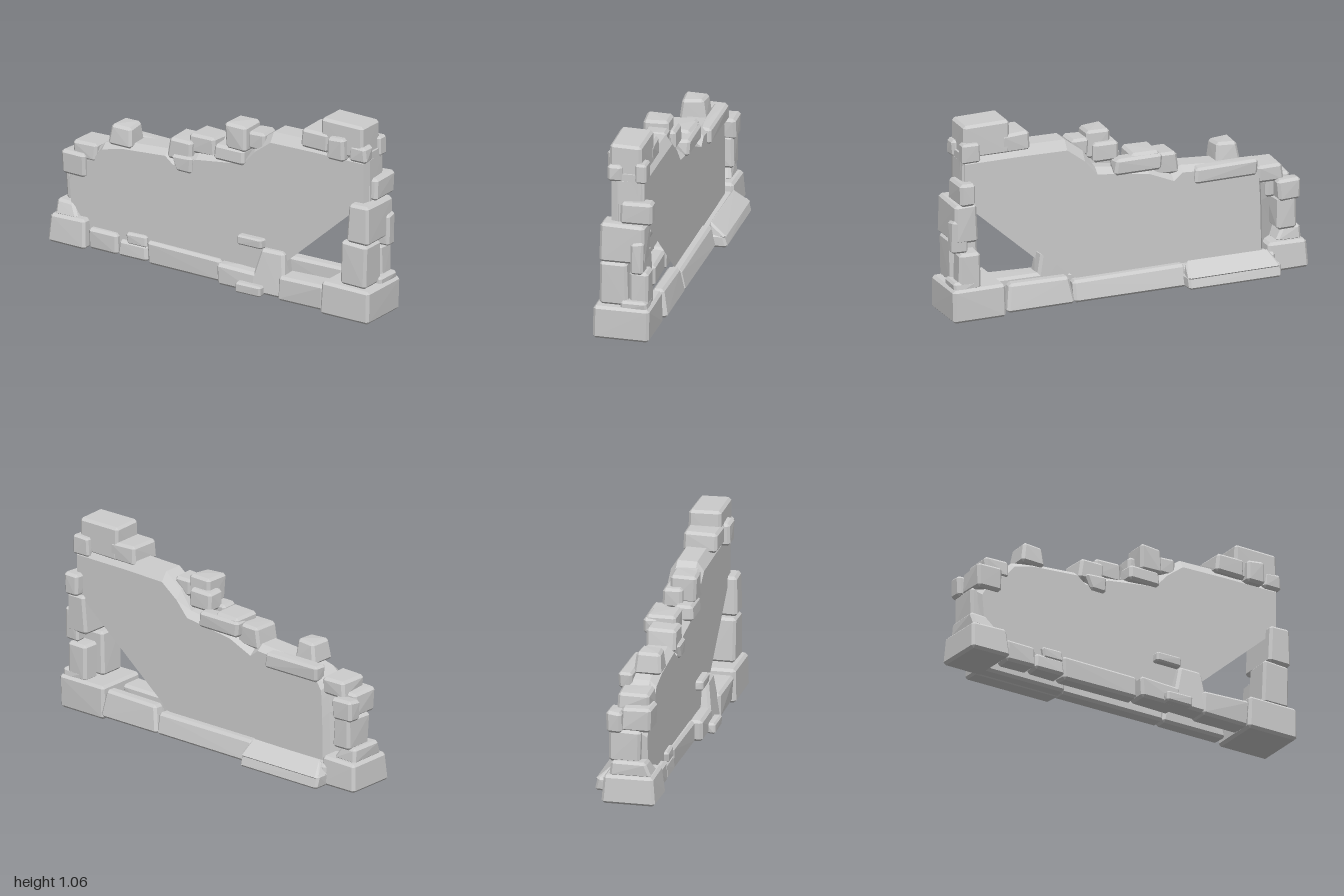
import * as THREE from 'three';
import { ConvexGeometry } from 'three/addons/geometries/ConvexGeometry.js';

const stoneGrey = new THREE.MeshStandardMaterial({ color: 0xcccccc, side: THREE.DoubleSide });
stoneGrey.name = 'stoneGrey';

let seed = 7;
const rand = () => (seed = (seed * 16807) % 2147483647) / 2147483647;

// Chamfered block inside the given bounds; each corner is pulled in a little.
// topInset narrows the top at [min x, max x, back, front].
function stone(group, name, [x0, x1], [y0, y1], [z0, z1], topInset = [0, 0, 0, 0]) {
  const size = [x1 - x0, y1 - y0, z1 - z0];
  const b = Math.min(0.014, Math.min(...size) * 0.16);
  const pts = [];
  for (const sx of [0, 1]) for (const sy of [0, 1]) for (const sz of [0, 1]) {
    const j = size.map((s) => rand() * Math.min(0.009, s * 0.07));
    const cx = (sx ? x1 - j[0] : x0 + j[0]) + (sy ? (sx ? -topInset[1] : topInset[0]) : 0);
    const cy = sy ? y1 - j[1] : y0 + j[1] * 0.3;
    const cz = (sz ? z1 - j[2] : z0 + j[2]) + (sy ? (sz ? -topInset[3] : topInset[2]) : 0);
    const dx = sx ? -b : b, dy = sy ? -b : b, dz = sz ? -b : b;
    pts.push(
      new THREE.Vector3(cx, cy + dy, cz + dz),
      new THREE.Vector3(cx + dx, cy, cz + dz),
      new THREE.Vector3(cx + dx, cy + dy, cz)
    );
  }
  const mesh = new THREE.Mesh(new ConvexGeometry(pts), stoneGrey);
  mesh.name = name;
  group.add(mesh);
}

const FRONT = 0.1, BACK = -0.075;

// Broken upper outline of the wall, from low end to high end
const rim = [
  [-0.9, 0.14], [-0.92, 0.4], [-0.86, 0.5], [-0.77, 0.55], [-0.7, 0.61], [-0.58, 0.64],
  [-0.31, 0.66], [-0.26, 0.62], [-0.12, 0.68], [0.17, 0.72], [0.24, 0.82], [0.34, 0.895],
  [0.6, 0.9], [0.925, 0.9], [0.925, 0.63],
];

// Rim moved inwards, where the flat faces begin; the back face stops short of the low end
const frontEdge = rim.map(([x, y], i) => [
  x + (i < 4 ? 0.02 : i > 12 ? -0.01 : 0),
  i === 0 || i === 14 ? y : y - (i > 9 && i < 14 ? 0.05 : 0.03),
]);
const backEdge = frontEdge.map(([x, y], i) => [i < 4 ? -0.75 + i * 0.004 : x, i === 14 ? 0.65 : y]);

// Flat wall face; the foot leaves the corner opening free
function wallFace(name, edge, foot, z, back) {
  const shape = new THREE.Shape([...edge, ...foot].map(([x, y]) => new THREE.Vector2(x, y)));
  const geo = new THREE.ShapeGeometry(shape);
  if (back) {
    const idx = geo.index.array;
    for (let i = 0; i < idx.length; i += 3) [idx[i], idx[i + 1]] = [idx[i + 1], idx[i]];
    geo.computeVertexNormals();
  }
  geo.translate(0, 0, z);
  const mesh = new THREE.Mesh(geo, stoneGrey);
  mesh.name = name;
  return mesh;
}

// Bevelled strip that closes the gap between both wall faces
function wallRim() {
  const pos = [];
  const section = (i) => [
    [...frontEdge[i], FRONT], [...rim[i], FRONT - 0.035],
    [i < 4 ? backEdge[i][0] - 0.02 : rim[i][0], rim[i][1], BACK + 0.035], [...backEdge[i], BACK],
  ];
  for (let i = 0; i < rim.length - 1; i++) {
    const a = section(i), c = section(i + 1);
    for (let k = 0; k < 3; k++) {
      pos.push(...a[k], ...c[k], ...c[k + 1], ...a[k], ...c[k + 1], ...a[k + 1]);
    }
  }
  const geo = new THREE.BufferGeometry();
  geo.setAttribute('position', new THREE.Float32BufferAttribute(pos, 3));
  geo.computeVertexNormals();
  const mesh = new THREE.Mesh(geo, stoneGrey);
  mesh.name = 'wallRim';
  return mesh;
}

export function createModel() {
  const model = new THREE.Group();
  model.name = 'ruinedWall';

  const wall = new THREE.Group();
  wall.name = 'wallBody';
  wall.add(
    wallFace('wallFront', frontEdge, [[0.44, 0.21], [0.4, 0.08], [-0.9, 0.08]], FRONT, false),
    wallFace('wallBack', backEdge, [[0.24, 0.1], [-0.75, 0.08]], BACK, true),
    wallRim()
  );
  model.add(wall);

  const section = (name, list) => {
    const g = new THREE.Group();
    g.name = name;
    list.forEach((s) => stone(g, ...s));
    model.add(g);
  };

  // Footing: two corner blocks with a row of stones in front and behind
  section('footing', [
    ['rightCorner', [-1, -0.76], [0.025, 0.187], [-0.125, 0.165], [0.005, 0.01, 0.005, 0.01]],
    ['leftCorner', [0.69, 1], [0, 0.185], [-0.125, 0.19], [0.01, 0, 0, 0.01]],
    ['frontStone', [-0.77, -0.585], [0.025, 0.145], [0.02, 0.135]],
    ['frontStone', [-0.59, -0.405], [0.025, 0.115], [0.02, 0.13]],
    ['frontStone', [-0.54, -0.41], [0.1, 0.165], [0.04, 0.125]],
    ['frontStone', [-0.415, 0.05], [0.015, 0.145], [0.03, 0.125]],
    ['frontStone', [0.04, 0.29], [0.015, 0.135], [0.03, 0.165]],
    ['frontWedge', [0.24, 0.47], [0.02, 0.265], [0.04, 0.165], [0.05, 0.03, 0, 0.03]],
    ['frontStone', [0.42, 0.71], [0.01, 0.155], [0.04, 0.17]],
    ['frontPlate', [0.18, 0.34], [0.015, 0.075], [0.14, 0.2]],
    ['backStone', [-0.82, -0.28], [0.03, 0.14], [-0.13, -0.04]],
    ['backStone', [-0.31, 0.33], [0.025, 0.15], [-0.145, -0.05], [0, 0, 0.02, 0]],
    ['backStone', [0.32, 0.71], [0.025, 0.178], [-0.145, -0.05], [0.02, 0.02, 0.02, 0]],
    ['backSlabFoot', [-0.82, -0.285], [0.025, 0.1], [-0.203, -0.1], [0, 0, 0.01, 0]],
    ['backSlabSlope', [-0.82, -0.29], [0.075, 0.158], [-0.2, -0.1], [0.04, 0.01, 0.07, 0]],
    ['cornerChip', [0.86, 0.99], [0.15, 0.22], [-0.11, 0.04]],
    ['cornerChip', [-0.975, -0.83], [0.17, 0.255], [-0.09, 0.135], [0, 0.03, 0.01, 0.02]],
  ]);

  // Pillar beside the opening
  section('pillar', [
    ['pillarStone', [0.795, 0.965], [0.18, 0.425], [0, 0.155], [0.012, 0, 0, 0]],
    ['pillarStone', [0.84, 0.978], [0.42, 0.64], [-0.095, 0.155], [0.01, 0, 0, 0]],
    ['pillarStone', [0.87, 0.965], [0.635, 0.76], [-0.133, 0.05]],
    ['pillarStone', [0.84, 0.93], [0.62, 0.88], [-0.075, 0.078]],
    ['pillarBackStone', [0.83, 0.96], [0.17, 0.375], [-0.105, 0]],
    ['pillarBackStone', [0.9, 0.995], [0.37, 0.55], [-0.088, -0.015]],
  ]);

  // Peak above the pillar
  section('peak', [
    ['peakBlock', [0.65, 0.92], [0.87, 1.06], [-0.065, 0.112]],
    ['peakStone', [0.535, 0.71], [0.87, 0.98], [-0.065, 0.125]],
    ['peakFrontStone', [0.71, 0.825], [0.85, 0.98], [0.05, 0.15]],
    ['peakFrontStone', [0.83, 0.94], [0.855, 0.95], [0.035, 0.12]],
    ['peakBackStone', [0.83, 0.94], [0.855, 0.965], [-0.09, -0.025]],
  ]);

  // Loose stones along the broken top
  section('topStones', [
    ['topStone', [-0.66, -0.515], [0.62, 0.74], [-0.035, 0.115], [0.012, 0.008, 0.01, 0.01]],
    ['topBackSlab', [-0.73, -0.37], [0.56, 0.65], [-0.1, -0.02]],
    ['topStone', [-0.305, -0.145], [0.62, 0.745], [-0.06, 0.11], [0.01, 0, 0, 0]],
    ['topFrontStone', [-0.24, -0.135], [0.567, 0.66], [0.04, 0.12], [-0.025, 0, 0, 0]],
    ['topStone', [-0.185, -0.02], [0.67, 0.78], [-0.085, 0.08]],
    ['topBackStone', [-0.19, 0.08], [0.67, 0.76], [-0.1, -0.01]],
    ['topFrontStone', [-0.005, 0.19], [0.685, 0.775], [0.02, 0.125]],
    ['topStone', [0.03, 0.18], [0.74, 0.85], [-0.05, 0.06]],
    ['topStone', [0.065, 0.205], [0.76, 0.91], [-0.025, 0.125]],
    ['topStone', [0.19, 0.3], [0.78, 0.88], [-0.03, 0.1]],
  ]);

  // Stepped stones on the low end
  section('lowEnd', [
    ['endStone', [-0.95, -0.83], [0.24, 0.42], [-0.1, 0.075]],
    ['endStone', [-0.94, -0.79], [0.405, 0.54], [-0.04, 0.13]],
    ['endBackStone', [-0.97, -0.83], [0.4, 0.52], [-0.11, -0.02]],
    ['endStone', [-0.885, -0.73], [0.5, 0.6], [-0.07, 0.11]],
  ]);

  // Small stone standing proud of the front
  section('facePlate', [['ledgeStone', [0.15, 0.315], [0.255, 0.31], [0.07, 0.14]]]);

  return model;
}
